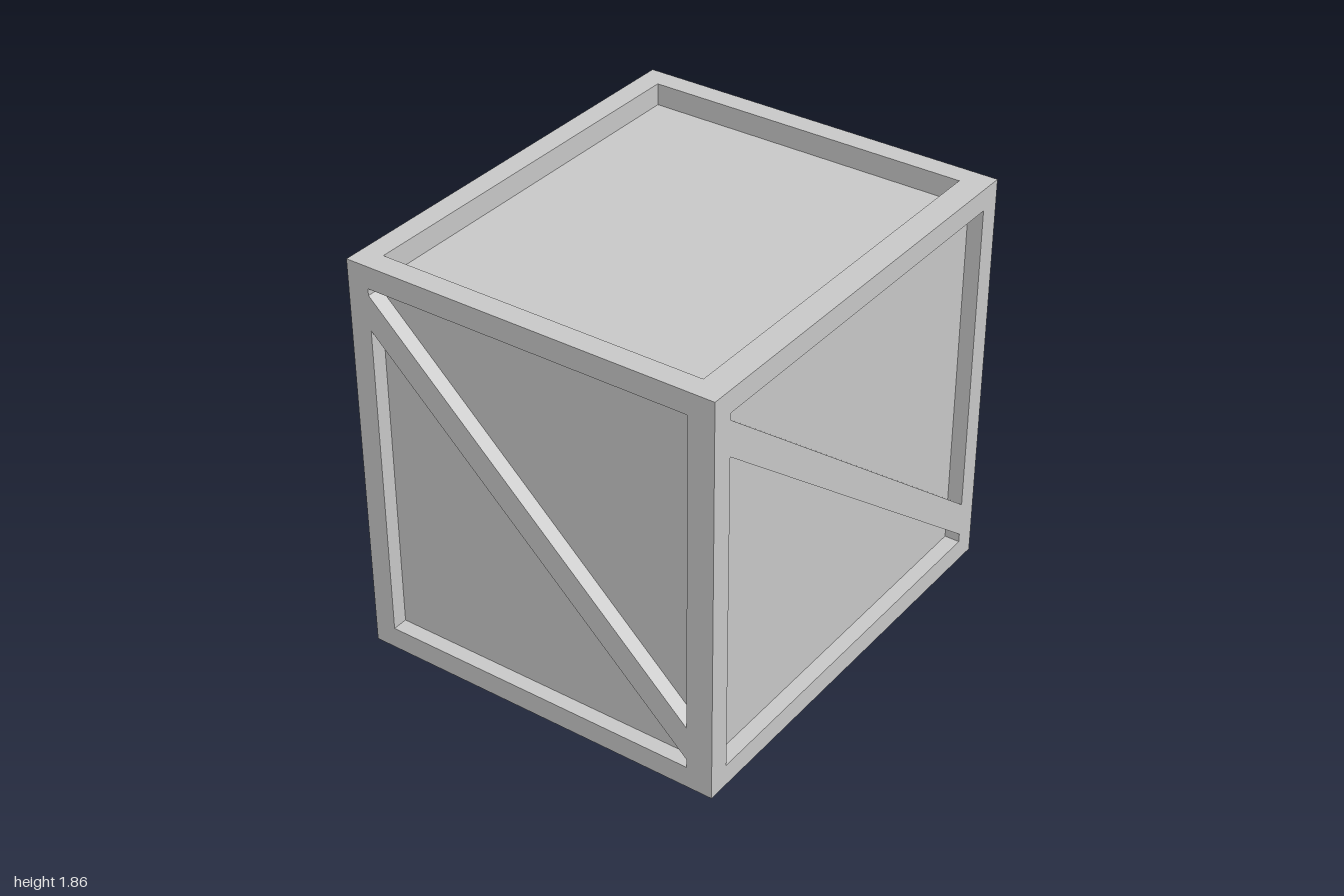
import * as THREE from 'three';

const W = 2, H = 1.86, D = 1.72; // overall size
const T = 0.07;                  // depth of the side recesses
const TOP = 0.1;                 // depth of the lid recess

const material = new THREE.MeshStandardMaterial({ color: 0xcccccc, flatShading: true });

const points = (list) => list.map(([x, y]) => new THREE.Vector2(x, y));

// Flat plate in the xy plane with cut-out polygons, extruded along +z
function plate(name, outline, holes, depth) {
  const shape = new THREE.Shape(points(outline));
  for (const hole of holes) shape.holes.push(new THREE.Path(points(hole)));
  const geometry = new THREE.ExtrudeGeometry(shape, { depth, bevelEnabled: false });
  const mesh = new THREE.Mesh(geometry, material);
  mesh.name = name;
  return mesh;
}

const rect = (x0, x1, y0, y1) => [[x0, y0], [x1, y0], [x1, y1], [x0, y1]];

// Side frame with a diagonal brace running from upper left to lower right
function bracedFrame(name, half, left, right) {
  const lower = [[left, 0.1], [right, 0.1], [right, 0.14], [left, 1.57]];
  const upper = [[left, 1.73], [right, 0.3], [right, 1.76], [left, 1.76]];
  return plate(name, rect(-half, half, 0, H), [lower, upper], T);
}

export function createModel() {
  const group = new THREE.Group();
  group.name = 'crate';

  // Solid core whose faces are the recessed panels
  const innerX = W / 2 - T, innerZ = D / 2 - T;
  const core = new THREE.Mesh(new THREE.BoxGeometry(innerX * 2, H - TOP, innerZ * 2), material);
  core.name = 'panels';
  core.position.y = (H - TOP) / 2;
  group.add(core);

  // Four braced frames: name, half width, opening left and right, distance, turn
  const sides = [
    ['frontFrame', W / 2, -0.9, 0.9, innerZ, 0],
    ['leftFrame', innerZ, -0.74, 0.76, innerX, Math.PI / 2],
    ['backFrame', W / 2, -0.9, 0.9, innerZ, Math.PI],
    ['rightFrame', innerZ, -0.76, 0.74, innerX, -Math.PI / 2],
  ];
  for (const [name, half, left, right, distance, turn] of sides) {
    const frame = bracedFrame(name, half, left, right);
    frame.rotation.y = turn;
    frame.position.set(Math.sin(turn) * distance, 0, Math.cos(turn) * distance);
    group.add(frame);
  }

  // Rim around the recessed lid
  const rim = plate('topRim', rect(-innerX, innerX, -innerZ, innerZ),
    [rect(-0.9, 0.9, -0.74, 0.76)], TOP);
  rim.rotation.x = -Math.PI / 2;
  rim.position.y = H - TOP;
  group.add(rim);

  return group;
}
